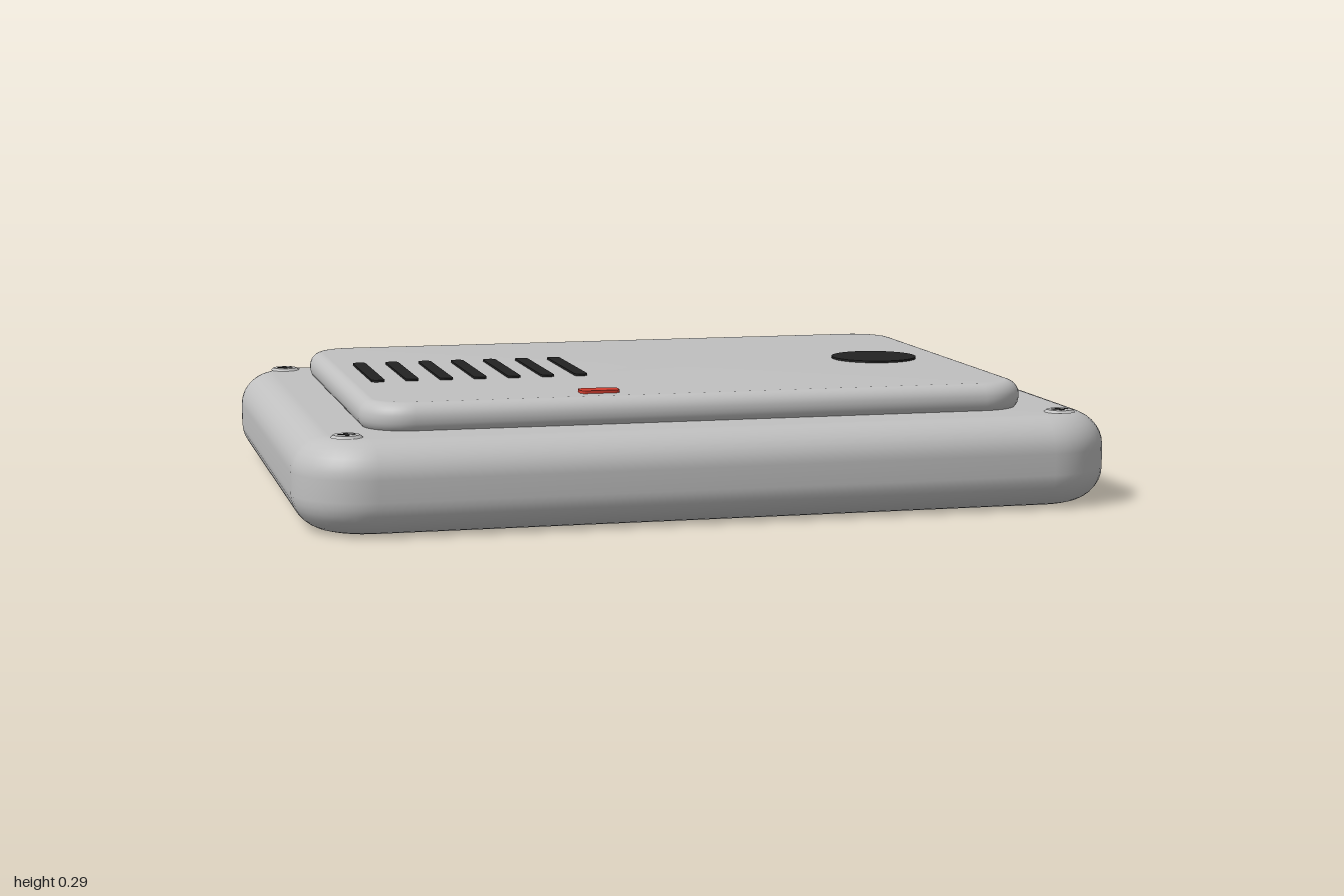
import * as THREE from 'three';

const grey = new THREE.MeshStandardMaterial({ color: 0xc0c0c0 });
grey.name = 'casing grey';
const black = new THREE.MeshStandardMaterial({ color: 0x222222 });
black.name = 'opening black';
const red = new THREE.MeshStandardMaterial({ color: 0xd03c2e });
red.name = 'indicator red';

// Closed rounded-rectangle outline, centred on the origin, as [x, z] pairs
function outline(halfX, halfZ, radius, steps) {
  const points = [];
  for (let corner = 0; corner < 4; corner++) {
    const sx = corner === 0 || corner === 3 ? 1 : -1;
    const sz = corner < 2 ? 1 : -1;
    for (let i = 0; i <= steps; i++) {
      const a = (corner + i / steps) * Math.PI / 2;
      points.push([sx * (halfX - radius) + radius * Math.cos(a),
        sz * (halfZ - radius) + radius * Math.sin(a)]);
    }
  }
  return points;
}

// Rounded slab with smooth bevels along its top and bottom rims
function slab(halfX, halfZ, height, corner, bevelIn, bevelY, steps = 10, bevelSteps = 8) {
  const profile = [];
  for (let i = 0; i <= bevelSteps; i++) {
    const a = i / bevelSteps * Math.PI / 2;
    profile.push([bevelIn * (1 - Math.sin(a)), bevelY * (1 - Math.cos(a))]);
  }
  for (const [inset, y] of [...profile].reverse()) profile.push([inset, height - y]);

  const position = [], index = [];
  const n = 4 * (steps + 1);
  for (const [inset, y] of profile) {
    for (const [x, z] of outline(halfX - inset, halfZ - inset, corner - inset, steps)) position.push(x, y, z);
  }
  for (let r = 0; r < profile.length - 1; r++) {
    for (let i = 0; i < n; i++) {
      const a = r * n + i, b = r * n + (i + 1) % n;
      index.push(a, a + n, b, b, a + n, b + n);
    }
  }
  // Flat bottom and top caps
  const top = (profile.length - 1) * n, centre = profile.length * n;
  position.push(0, 0, 0, 0, height, 0);
  for (let i = 0; i < n; i++) {
    const j = (i + 1) % n;
    index.push(centre, i, j, centre + 1, top + j, top + i);
  }
  const geometry = new THREE.BufferGeometry();
  geometry.setAttribute('position', new THREE.Float32BufferAttribute(position, 3));
  geometry.setIndex(index);
  geometry.computeVertexNormals();
  return geometry;
}

// Thin rounded plate, lying flat with its underside on y = 0
function plate(width, depth, radius, height) {
  const shape = new THREE.Shape(outline(width / 2, depth / 2, radius, 5).map(([x, z]) => new THREE.Vector2(x, z)));
  return new THREE.ExtrudeGeometry(shape, { depth: height, bevelEnabled: false })
    .rotateX(-Math.PI / 2);
}

export function createModel() {
  const group = new THREE.Group();
  const add = (name, geometry, material, x, y, z, parent = group) => {
    const mesh = new THREE.Mesh(geometry, material);
    mesh.name = name;
    mesh.position.set(x, y, z);
    parent.add(mesh);
    return mesh;
  };

  // Casing and raised panel
  const bodyTop = 0.222, panelTop = 0.287;
  add('body', slab(1, 0.755, bodyTop, 0.18, 0.09, 0.085), grey, 0, 0, 0);
  add('raisedPanel', slab(0.826, 0.585, 0.077, 0.12, 0.035, 0.036), grey, 0, panelTop - 0.077, 0);

  // Speaker slots
  const slot = plate(0.033, 0.362, 0.013, 0.005);
  for (let i = 0; i < 7; i++) add('speakerSlot', slot, black, -0.735 + i * 0.0855, panelTop, 0);

  // Round sensor opening and indicator light
  add('sensorDisc', new THREE.CylinderGeometry(0.111, 0.111, 0.005, 48), black, 0.607, panelTop + 0.0025, 0);
  add('indicatorLight', plate(0.097, 0.05, 0.013, 0.007), red, -0.247, panelTop, 0.485);

  // Corner screws with cross slots
  const head = new THREE.CylinderGeometry(0.031, 0.038, 0.006, 24);
  const arm = new THREE.BoxGeometry(0.04, 0.002, 0.01);
  for (const sx of [-1, 1]) {
    for (const sz of [-1, 1]) {
      const screw = new THREE.Group();
      screw.name = 'screw';
      screw.position.set(sx * 0.876, bodyTop, sz * 0.634);
      add('screwHead', head, grey, 0, 0.003, 0, screw);
      add('screwSlot', arm, black, 0, 0.006, 0, screw);
      add('screwCrossSlot', arm, black, 0, 0.0062, 0, screw).rotation.y = Math.PI / 2;
      group.add(screw);
    }
  }
  return group;
}
